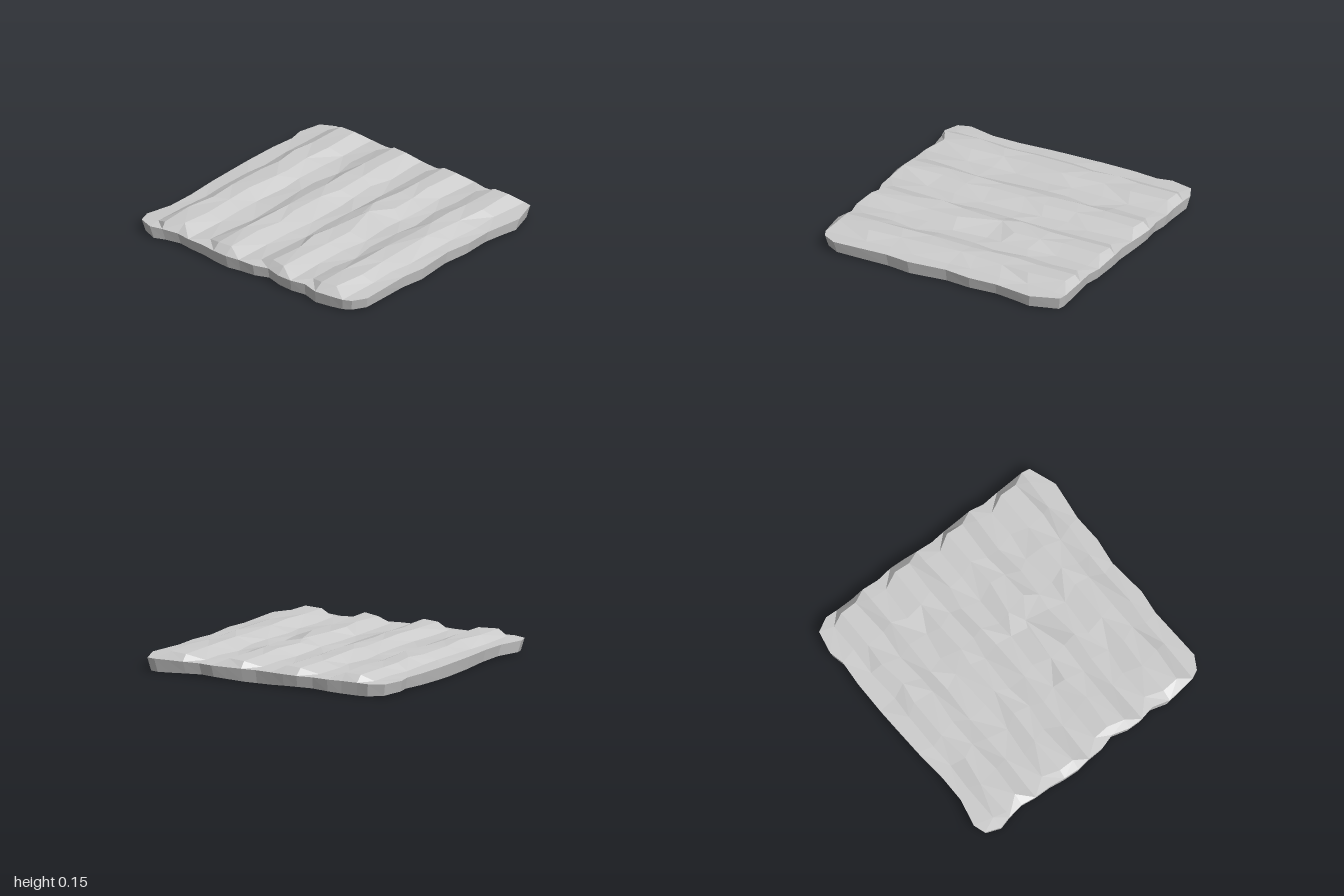
import * as THREE from 'three';

// Crease lines from back to front; each ridge uses four (foot, crest, crest, foot)
const rowZ = [-0.86, -0.77, -0.645, -0.535, -0.41, -0.29, -0.175, -0.07,
  0.055, 0.165, 0.29, 0.4, 0.51, 0.635, 0.76, 0.86];
const colX = [-0.64, -0.42, -0.21, 0.07, 0.22, 0.44, 0.64];

// Irregular outline of the slab: one x per crease on each side
const leftX = [-0.99, -0.965, -0.945, -0.96, -0.96, -0.975, -0.98, -0.965,
  -0.96, -0.925, -0.96, -0.96, -0.935, -0.97, -0.955, -0.94];
const rightX = [0.975, 0.97, 0.97, 0.98, 0.97, 0.985, 0.98, 0.97,
  0.96, 0.97, 0.975, 0.98, 0.96, 0.97, 0.975, 0.98];
const backEdge = [[-0.95, -0.97], [-0.86, -1], [-0.66, -0.955], [-0.45, -0.955], [-0.2, -0.975],
  [0.06, -0.985], [0.2, -0.99], [0.45, -0.99], [0.64, -0.975], [0.75, -1], [0.92, -0.965]];
const frontEdge = [[-0.91, 0.92], [-0.81, 0.975], [-0.64, 0.967], [-0.4, 0.955], [-0.22, 0.975],
  [0.07, 0.945], [0.27, 0.97], [0.48, 0.96], [0.64, 0.98], [0.77, 0.995], [0.97, 0.92]];

// Where the crests stop at each side: back and front corner of every ridge
const crestLeft = [-0.935, -0.87, -0.92, -0.92, -0.87, -0.905, -0.9, -0.89];
const crestRight = [0.92, 0.92, 0.93, 0.92, 0.93, 0.92, 0.925, 0.92];

// Crumbled spots, keyed by crease and column: shift in z
const dents = { '4,3': 0.05, '6,4': -0.03, '7,4': 0.04, '10,5': -0.08, '10,6': 0.01, '14,5': -0.04, '2,6': 0.03 };

const RIM = 0.095, VALLEY = 0.1, CREST = 0.145;

function surfaceRow(r) {
  const isCrest = r % 4 === 1 || r % 4 === 2;
  const c = Math.floor(r / 4) * 2 + (r % 4 === 2 ? 1 : 0);
  const y = isCrest ? CREST : VALLEY;
  const xs = [leftX[r], isCrest ? crestLeft[c] : leftX[r] + 0.09, ...colX,
    isCrest ? crestRight[c] : rightX[r] - 0.09, rightX[r]];
  return xs.map((x, j) => {
    if (j === 0 || j === 10) return new THREE.Vector3(x, RIM, rowZ[r]);
    const inner = j > 1 && j < 9;
    const wave = inner ? 0.013 * Math.sin(j * 2.3 + r * 1.1) + 0.009 * Math.sin(j * 4.1 + r * 2.7) : 0;
    const shiftX = inner ? 0.03 * Math.sin(r * 2.1 + j) : 0;
    return new THREE.Vector3(x + shiftX, y + 0.004 * Math.sin(j * 1.7 + r * 3.1),
      rowZ[r] + wave + (dents[`${r},${j}`] || 0));
  });
}

function facetedMesh(name, triangles) {
  const geometry = new THREE.BufferGeometry().setFromPoints(triangles);
  geometry.computeVertexNormals();
  const material = new THREE.MeshStandardMaterial({
    color: 0xcccccc, flatShading: true, side: THREE.DoubleSide,
  });
  const mesh = new THREE.Mesh(geometry, material);
  mesh.name = name;
  return mesh;
}

export function createModel() {
  const group = new THREE.Group();
  group.name = 'ploughedField';
  const edgeRow = (pts) => pts.map(([x, z]) => new THREE.Vector3(x, RIM, z));
  const grid = [edgeRow(backEdge), ...rowZ.map((_, r) => surfaceRow(r)), edgeRow(frontEdge)];
  const last = grid.length - 1;

  // Furrowed soil surface, alternating the quad diagonals
  const soil = [];
  for (let i = 0; i < last; i++) {
    for (let j = 0; j < 10; j++) {
      const a = grid[i][j], b = grid[i][j + 1], c = grid[i + 1][j], d = grid[i + 1][j + 1];
      if ((i + j) % 2) soil.push(a, c, b, b, c, d);
      else soil.push(a, c, d, a, d, b);
    }
  }
  group.add(facetedMesh('furrowedSoil', soil));

  // Side wall around the rim, leaning inwards, open underneath
  const rim = [...grid[0], ...grid.slice(1, last).map((row) => row[10]),
    ...[...grid[last]].reverse(), ...grid.slice(1, last).map((row) => row[0]).reverse()];
  const foot = rim.map((p, k) => new THREE.Vector3(p.x * 0.98, 0.007 + 0.007 * Math.sin(k * 0.9), p.z * 0.98));
  const wall = [];
  rim.forEach((p, k) => {
    const n = (k + 1) % rim.length;
    wall.push(p, rim[n], foot[k], rim[n], foot[n], foot[k]);
  });
  group.add(facetedMesh('sideWall', wall));
  return group;
}
